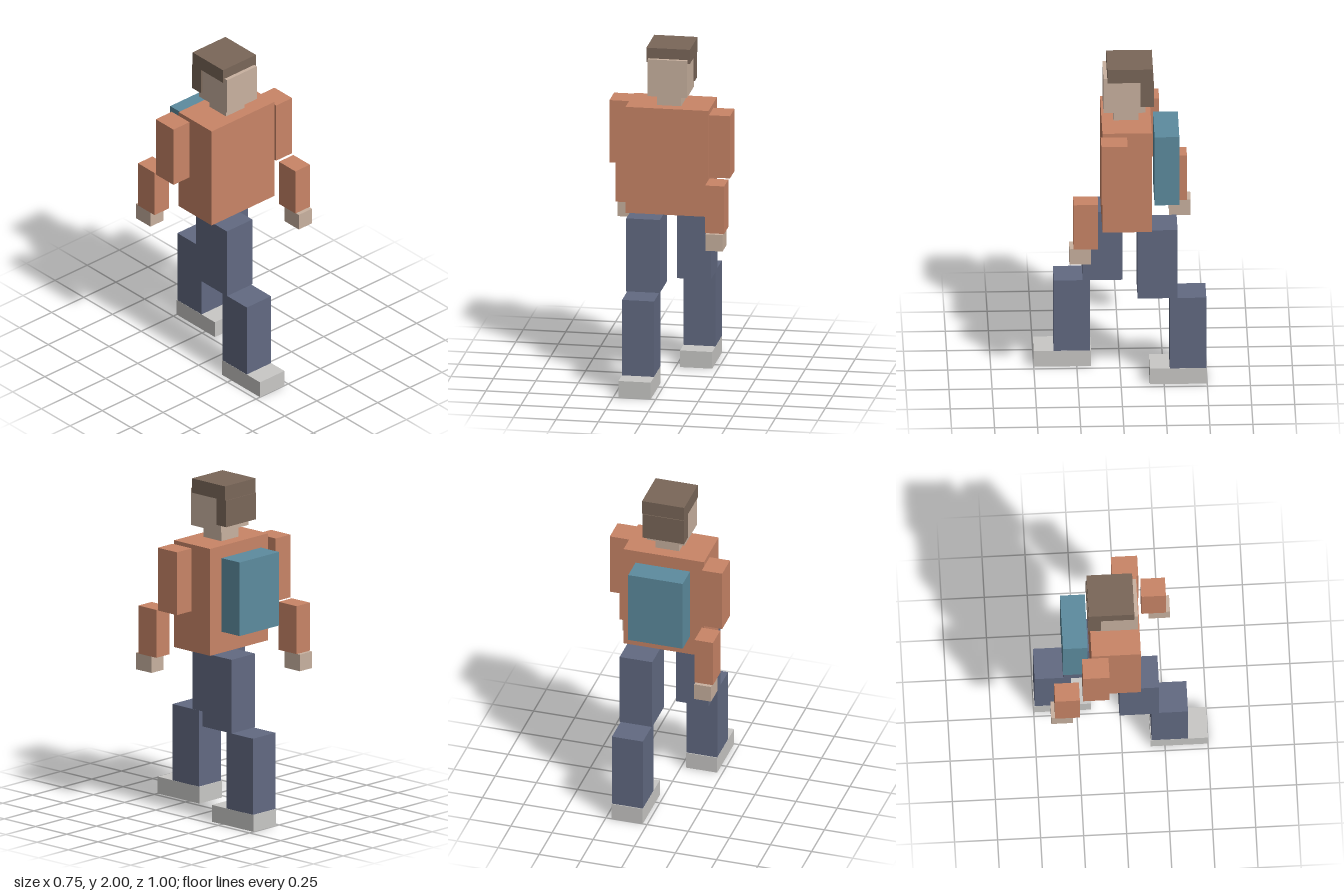
import * as THREE from 'three';

const mat = (name, color) => {
  const m = new THREE.MeshStandardMaterial({ color });
  m.name = name;
  return m;
};

export function createModel() {
  const skin = mat('skin', 0xc9b2a0);
  const shirt = mat('orange shirt', 0xc98567);
  const trousers = mat('blue trousers', 0x626a82);
  const hair = mat('brown hair', 0x7a6759);
  const pack = mat('teal backpack', 0x5d8c9f);
  const shoe = mat('pale shoe', 0xc9c8c6);

  const model = new THREE.Group();
  model.name = 'walkingFigure';

  // Box given by its [min, max] extent along each axis
  const block = (parent, name, material, x, y, z) => {
    const size = [x, y, z].map(([a, b]) => b - a);
    const mesh = new THREE.Mesh(new THREE.BoxGeometry(...size), material);
    mesh.position.set(...[x, y, z].map(([a, b]) => (a + b) / 2));
    mesh.name = name;
    parent.add(mesh);
  };
  const group = (name) => {
    const g = new THREE.Group();
    g.name = name;
    model.add(g);
    return g;
  };

  // Body
  block(model, 'torso', shirt, [-0.246, 0.243], [1.003, 1.645], [-0.178, 0.109]);
  block(model, 'backpack', pack, [-0.167, 0.164], [1.136, 1.578], [-0.34, -0.196]);

  // Head
  const head = group('head');
  block(head, 'neck', skin, [-0.073, 0.07], [1.645, 1.715], [-0.105, 0.041]);
  block(head, 'face', skin, [-0.117, 0.114], [1.714, 1.937], [-0.144, 0.099]);
  block(head, 'hairTop', hair, [-0.129, 0.127], [1.914, 2], [-0.188, 0.077]);
  block(head, 'hairBack', hair, [-0.129, 0.123], [1.755, 1.914], [-0.193, -0.116]);

  // Arms: the left swings forward, the right swings back
  const arms = [
    ['leftArm', 0.309, [-0.034, 0.119], [0.137, 0.28], [0.18, 0.304]],
    ['rightArm', -0.312, [-0.234, -0.08], [-0.396, -0.252], [-0.418, -0.293]],
  ];
  for (const [name, cx, upperZ, foreZ, handZ] of arms) {
    const arm = group(name);
    const span = (half) => [cx - half, cx + half];
    block(arm, 'upperArm', shirt, span(0.062), [1.246, 1.623], upperZ);
    block(arm, 'forearm', shirt, span(0.056), [0.957, 1.245], foreZ);
    block(arm, 'hand', skin, span(0.051), [0.857, 0.957], handZ);
  }

  // Legs: the right strides forward, the left trails
  const legs = [
    ['leftLeg', 0.121, [-0.328, -0.096], [-0.495, -0.283], [-0.5, -0.167]],
    ['rightLeg', -0.124, [-0.015, 0.216], [0.172, 0.384], [0.167, 0.5]],
  ];
  for (const [name, cx, thighZ, shinZ, shoeZ] of legs) {
    const leg = group(name);
    const span = (half) => [cx - half, cx + half];
    block(leg, 'thigh', trousers, span(0.099), [0.56, 1.002], thighZ);
    block(leg, 'shin', trousers, span(0.094), [0.101, 0.558], shinZ);
    block(leg, 'shoe', shoe, span(0.095), [0, 0.101], shoeZ);
  }

  return model;
}
